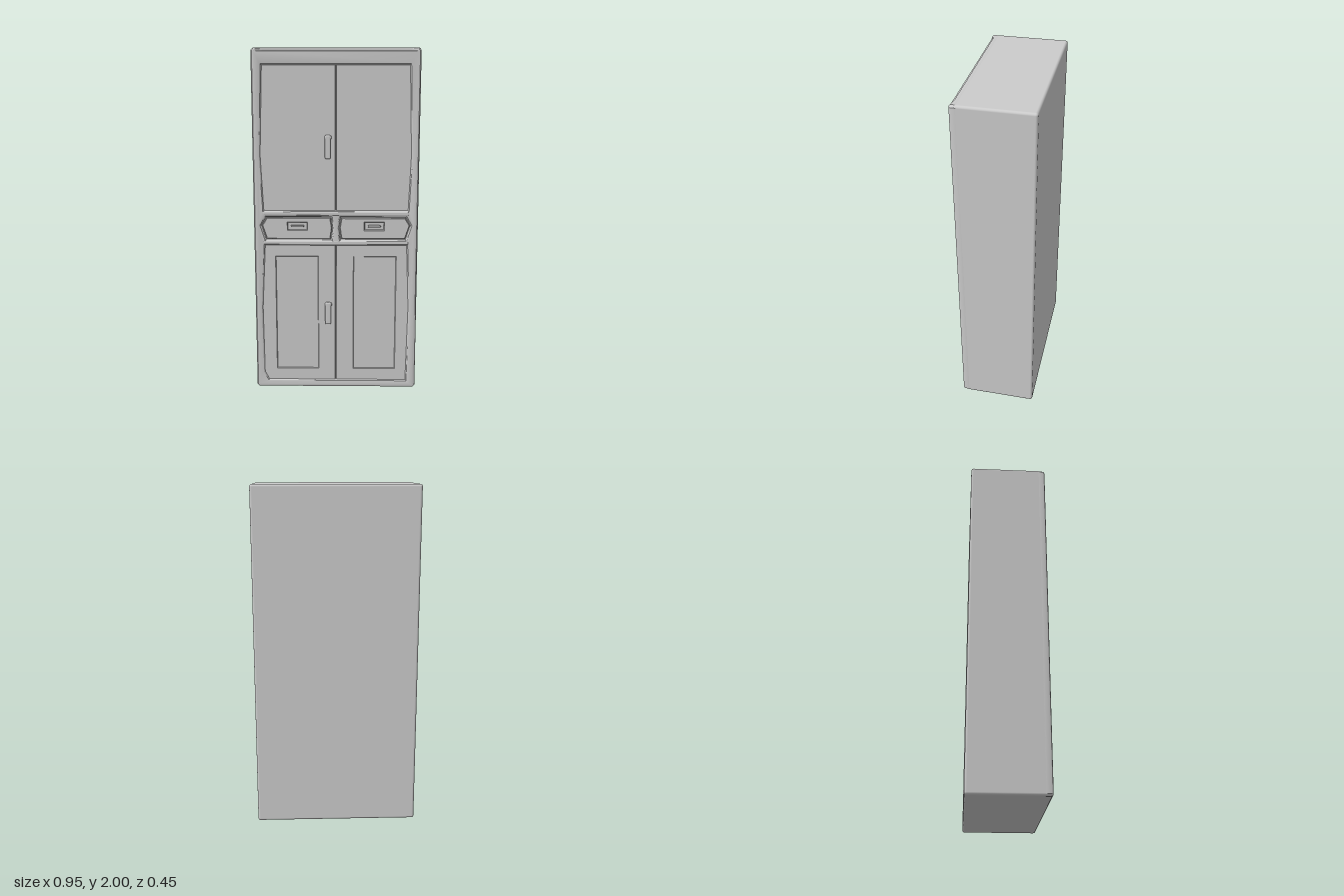
import * as THREE from 'three';
import { RoundedBoxGeometry } from 'three/addons/geometries/RoundedBoxGeometry.js';
import { toCreasedNormals } from 'three/addons/utils/BufferGeometryUtils.js';

const W = 0.475, H = 2, BACK = -0.225, FRONT = 0.22;
const material = new THREE.MeshStandardMaterial({ color: 0xcccccc });

function add(parent, name, geometry, x = 0, y = 0, z = 0) {
  const mesh = new THREE.Mesh(geometry, material);
  mesh.name = name;
  mesh.position.set(x, y, z);
  parent.add(mesh);
  return mesh;
}

const path = (points, Type = THREE.Shape) =>
  new Type(points.map(([x, y]) => new THREE.Vector2(x, y)));
const rect = (x0, y0, x1, y1) => [[x0, y0], [x1, y0], [x1, y1], [x0, y1]];

// Plate between z0 and z1 with a small bevel that keeps the given outline
function plate(outline, holes, z0, z1, bevel, segments = 1) {
  const shape = path(outline);
  shape.holes = holes.map(h => path(h, THREE.Path));
  const geometry = new THREE.ExtrudeGeometry(shape, {
    depth: z1 - z0 - 2 * bevel, bevelEnabled: true, bevelThickness: bevel,
    bevelSize: bevel, bevelOffset: -bevel, bevelSegments: segments
  });
  geometry.translate(0, 0, z0 + bevel);
  return geometry;
}

// Drawer outline with pointed outer end, side = +1 or -1
function drawerOutline(side, inset) {
  const pts = [
    [0.028 + inset, 0.91 + inset], [0.405 - inset, 0.91 + inset],
    [0.432 - inset, 0.995], [0.405 - inset, 1.043 - inset],
    [0.028 + inset, 1.043 - inset], [0.018 + inset, 0.98]
  ].map(([x, y]) => [side * x, y]);
  return side > 0 ? pts : pts.reverse();
}

export function createModel() {
  const cabinet = new THREE.Group();
  cabinet.name = 'cabinet';

  // Carcass
  const bodyFront = 0.197;
  add(cabinet, 'carcass', new RoundedBoxGeometry(2 * W, H, bodyFront - BACK, 3, 0.014),
    0, H / 2, (bodyFront + BACK) / 2);

  // Face frame: the top rail leans back between the corner posts
  const outer = [
    [-W + 0.012, 0], [W - 0.012, 0], [W, 0.012], [W, H - 0.012], [W - 0.012, H],
    [0.41, H], [-0.41, H], [-W + 0.012, H], [-W, H - 0.012], [-W, 0.012]
  ];
  const upperOpening = [[-0.415, 1.085], [0.415, 1.085], [0.428, 1.4], [0.413, 1.905], [-0.413, 1.905], [-0.43, 1.4]];
  const lowerOpening = [[-0.4, 0.048], [0.415, 0.048], [0.425, 0.5], [0.41, 0.875], [-0.41, 0.875], [-0.43, 0.5], [-0.425, 0.095]];
  const frame = plate(outer,
    [upperOpening, lowerOpening, drawerOutline(1, 0), drawerOutline(-1, 0)],
    0.166, FRONT, 0.015, 3);
  const pos = frame.attributes.position;
  for (let i = 0; i < pos.count; i++) {
    if (pos.getY(i) > 1.96 && Math.abs(pos.getX(i)) < 0.42) {
      pos.setZ(i, Math.min(pos.getZ(i), 0.203));
    }
  }
  add(cabinet, 'faceFrame', toCreasedNormals(frame, 0.5));

  // Ledges above and below the drawers
  for (const [name, y] of [['upperLedge', 1.066], ['lowerLedge', 0.893]]) {
    add(cabinet, name, new RoundedBoxGeometry(0.84, 0.022, 0.02, 2, 0.006), 0, y, 0.212);
  }

  for (const [side, word] of [[1, 'left'], [-1, 'right']]) {
    const span = (a, y0, b, y1) => rect(Math.min(side * a, side * b), y0, Math.max(side * a, side * b), y1);

    // Plain upper door
    add(cabinet, word + 'UpperDoor',
      plate(span(0.002, 1.075, 0.44, 1.912), [], 0.185, 0.211, 0.002));

    // Lower door with a sunken panel
    const lower = new THREE.Group();
    lower.name = word + 'LowerDoor';
    cabinet.add(lower);
    add(lower, 'doorFrame', plate(span(0.002, 0.04, 0.44, 0.882),
      [span(0.105, 0.118, 0.35, 0.808)], 0.185, 0.211, 0.003));
    add(lower, 'doorPanel', plate(span(0.09, 0.1, 0.365, 0.82), [], 0.185, 0.204, 0.002));

    // Drawer with a shallow cup and a small pull
    const drawer = new THREE.Group();
    drawer.name = word + 'Drawer';
    cabinet.add(drawer);
    add(drawer, 'drawerFront', plate(drawerOutline(side, 0.004),
      [span(0.168, 0.968, 0.278, 1.012)], 0.185, 0.212, 0.004));
    add(drawer, 'pull', new RoundedBoxGeometry(0.075, 0.012, 0.014, 2, 0.004),
      side * 0.223, 0.99, 0.209);
  }

  // Upright door handles
  for (const [name, y] of [['upperHandle', 1.45], ['lowerHandle', 0.465]]) {
    const handle = new THREE.Group();
    handle.name = name;
    handle.position.set(-0.046, y, 0);
    cabinet.add(handle);
    add(handle, 'grip', new RoundedBoxGeometry(0.034, 0.135, 0.018, 3, 0.008), 0, 0, 0.217);
    add(handle, 'cap', new RoundedBoxGeometry(0.04, 0.022, 0.016, 3, 0.007), 0.002, 0.054, 0.216);
  }

  return cabinet;
}
